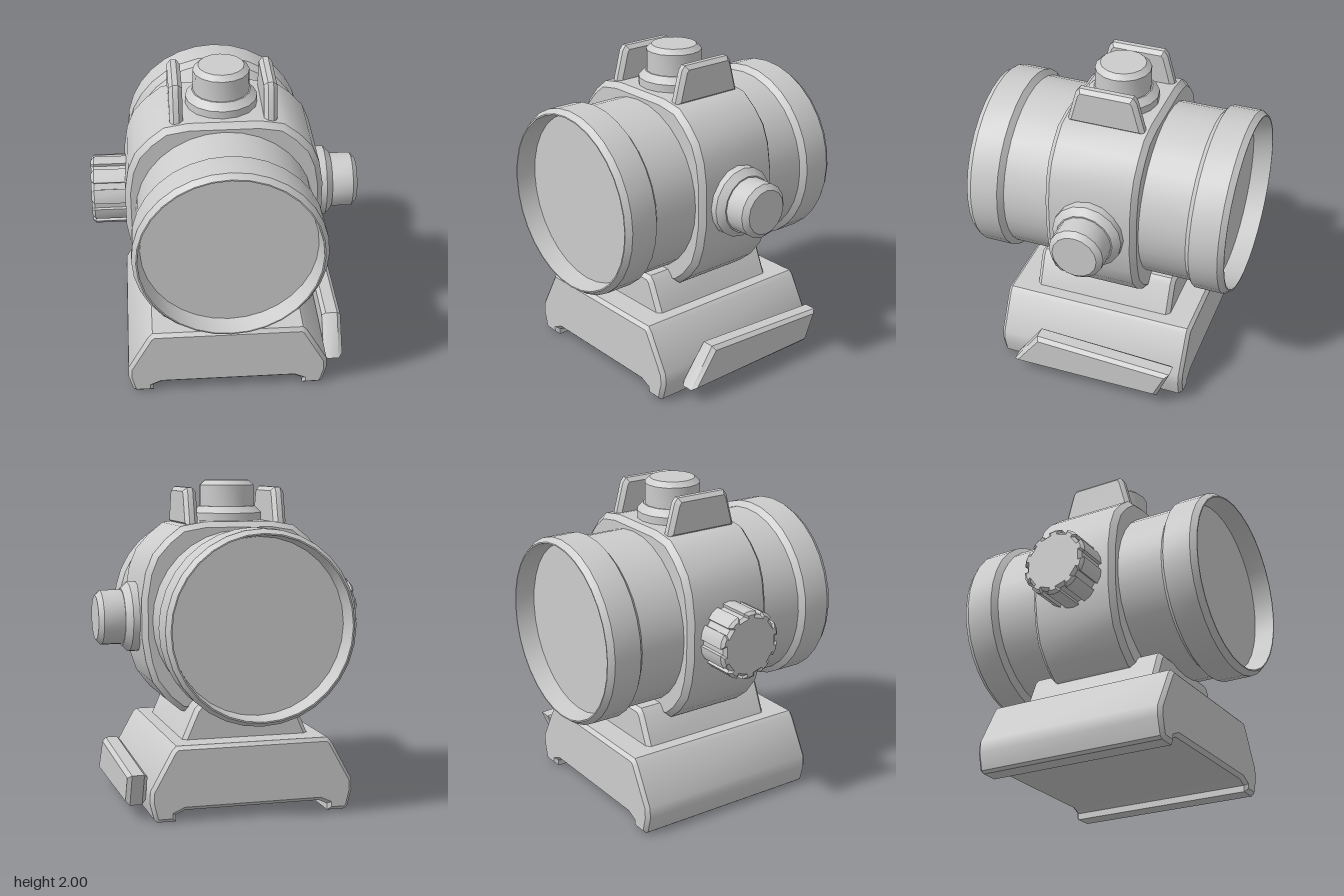
import * as THREE from 'three';
import { toCreasedNormals } from 'three/addons/utils/BufferGeometryUtils.js';

const AXIS_X = -0.02, AXIS_Y = 1.16;

export function createModel() {
  const model = new THREE.Group();
  model.name = 'opticSight';
  const grey = new THREE.MeshStandardMaterial({ color: 0xcccccc });
  grey.name = 'light grey';

  const add = (name, geometry, x = 0, y = 0, z = 0) => {
    const mesh = new THREE.Mesh(toCreasedNormals(geometry, 0.6), grey);
    mesh.name = name;
    mesh.position.set(x, y, z);
    model.add(mesh);
    return mesh;
  };
  // Bevelled prism of the outline, centred on z, keeping the outline's outer size
  const prism = (points, length, bevel) => {
    const shape = new THREE.Shape(points.map(([x, y]) => new THREE.Vector2(x, y)));
    const g = new THREE.ExtrudeGeometry(shape, {
      depth: length - 2 * bevel, bevelThickness: bevel, bevelSize: bevel,
      bevelOffset: -bevel, bevelSegments: 1, steps: 1,
    });
    return g.translate(0, 0, -length / 2 + bevel);
  };
  const lathe = (points, sides) =>
    new THREE.LatheGeometry(points.map(([r, h]) => new THREE.Vector2(r, h)), sides);
  // Completes a left half outline by mirroring it in x
  const mirrored = (half) => [...half, ...half.map(([x, y]) => [-x, y]).reverse()];

  // Main tube with raised end rings and recessed lenses
  const end = [[0, -0.7], [0.525, -0.7], [0.542, -0.82], [0.55, -0.82], [0.575, -0.785],
    [0.575, -0.61], [0.54, -0.58]];
  const tube = [...end, ...end.map(([r, h]) => [r, -h]).reverse()];
  add('mainTube', lathe(tube, 32).rotateX(Math.PI / 2), AXIS_X, AXIS_Y);

  // Central housing around the tube
  const housing = mirrored([[-0.2, 0.58], [-0.36, 0.595], [-0.45, 0.67], [-0.535, 0.78], [-0.575, 0.9],
    [-0.6, 1.05], [-0.6, 1.3], [-0.575, 1.45], [-0.53, 1.56], [-0.45, 1.65], [-0.355, 1.725], [-0.21, 1.75]]);
  add('housing', prism(housing, 0.575, 0.033), AXIS_X);

  // Neck between housing and mount
  add('neck', prism(mirrored([[-0.41, 0.42], [-0.395, 0.455], [-0.315, 0.64], [-0.285, 0.67]]), 0.9, 0.025), AXIS_X);

  // Mount with rail channel underneath
  const mount = mirrored([[-0.475, 0], [-0.585, 0], [-0.605, 0.015], [-0.632, 0.12], [-0.628, 0.19],
    [-0.495, 0.43], [-0.47, 0.455]]);
  mount.push([0.475, 0.04], [0.42, 0.065], [-0.42, 0.065], [-0.475, 0.04]);
  add('mount', prism(mount, 1.23, 0.022), AXIS_X);

  // Clamp lever and the bolt that joins it to the mount
  const lever = [[-0.48, 0.085], [0.485, 0.085], [0.565, 0.285], [-0.315, 0.33]];
  add('clampLever', prism(lever, 0.122, 0.024).rotateY(Math.PI / 2), 0.673);

  // Adjustment turrets, on top and on the left side
  const turret = [[0, -0.06], [0.218, -0.06], [0.218, 0.045], [0.178, 0.085], [0.17, 0.085],
    [0.17, 0.215], [0.138, 0.245], [0, 0.245]];
  add('topTurret', lathe(turret, 16), AXIS_X, 1.752);
  add('sideTurret', lathe(turret, 16).rotateZ(-Math.PI / 2), 0.576, 1.157);

  // Grooved cap on the right side
  const cap = [];
  const grooves = 10, step = (2 * Math.PI) / grooves;
  for (let i = 0; i < grooves; i++) {
    for (const [a, r] of [[-0.1, 0.21], [-0.1, 0.19], [0.1, 0.19], [0.1, 0.21], [step / 2, 0.213]]) {
      cap.push([r * Math.cos(i * step + a), r * Math.sin(i * step + a)]);
    }
  }
  add('groovedCap', prism(cap, 0.29, 0.018).rotateY(Math.PI / 2), -0.682, 1.157);

  // Guard ears either side of the top turret
  const ear = mirrored([[-0.24, 1.72], [-0.235, 1.75], [-0.188, 1.925], [-0.165, 1.955]]);
  for (const side of [-1, 1]) {
    add(side < 0 ? 'rightGuardEar' : 'leftGuardEar',
      prism(ear, 0.08, 0.024).rotateY(Math.PI / 2), AXIS_X + side * 0.28);
  }
  return model;
}
